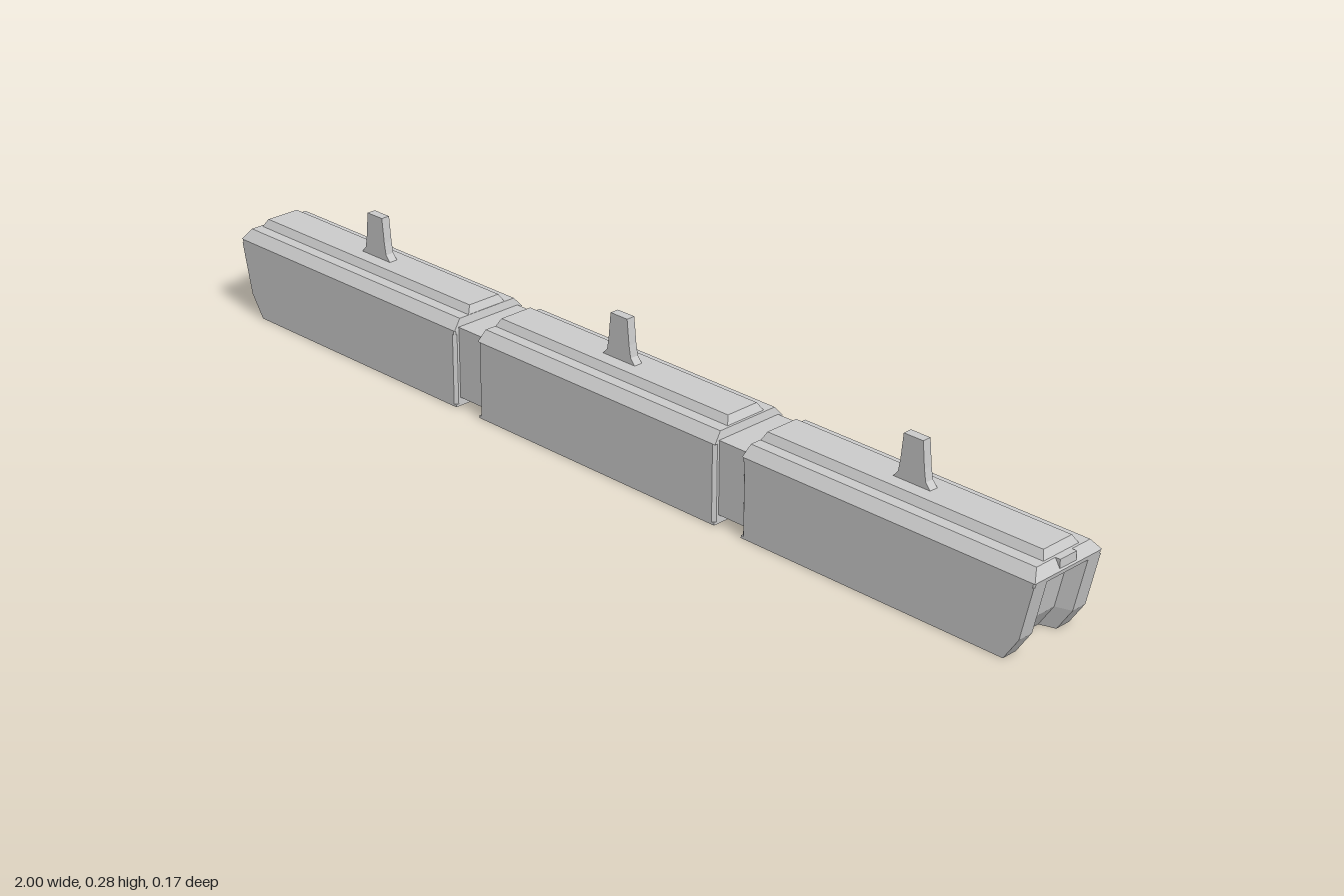
import * as THREE from 'three';

const material = new THREE.MeshStandardMaterial({ color: 0xcccccc, flatShading: true });
const H = 0.085; // half width of a car

function mesh(name, geometry, parent) {
  const m = new THREE.Mesh(geometry, material);
  m.name = name;
  parent.add(m);
  return m;
}

// Stacks plan outlines [x, z] (running +x then +z) at rising heights into a closed solid.
function loft(levels) {
  const pos = [];
  const put = (k, i) => {
    const { y, pts } = levels[k];
    const [x, z] = pts[i % pts.length];
    pos.push(x, y, z);
  };
  const n = levels[0].pts.length, last = levels.length - 1;
  for (let k = 0; k < last; k++) {
    for (let i = 0; i < n; i++) {
      put(k, i); put(k + 1, i); put(k, i + 1);
      put(k, i + 1); put(k + 1, i); put(k + 1, i + 1);
    }
  }
  for (const k of [0, last]) {
    const contour = levels[k].pts.map(([x, z]) => new THREE.Vector2(x, z));
    for (const [a, b, c] of THREE.ShapeUtils.triangulateShape(contour, [])) {
      put(k, a);
      put(k, k ? c : b);
      put(k, k ? b : c);
    }
  }
  const g = new THREE.BufferGeometry();
  g.setAttribute('position', new THREE.Float32BufferAttribute(pos, 3));
  g.computeVertexNormals();
  return g;
}

const rect = (x0, x1, h) => [[x0, -h], [x1, -h], [x1, h], [x0, h]];

// Rectangle with small bevelled corners
const bevelled = (x0, x1, h, b = 0.006) => [
  [x0, b - h], [x0 + b, -h], [x1 - b, -h], [x1, b - h],
  [x1, h - b], [x1 - b, h], [x0 + b, h], [x0, h - b],
];

// Cab plan: bevelled at the inner end, recessed between two cheeks at the nose
const RECESS = 0.03;
const cabPlan = (x0, x1, b = 0.006) => [
  [x0, b - H], [x0 + b, -H], [x1, -H], [x1, -0.052], [x1 - RECESS, -0.042],
  [x1 - RECESS, 0.042], [x1, 0.052], [x1, H], [x0 + b, H], [x0, H - b],
];

// Stepped roof: sloping shoulder below, narrower deck above
function addRoof(car, x0, x1, slope) {
  mesh('roofShoulder', loft([
    { y: 0.155, pts: rect(x0, x1, H) },
    { y: 0.175, pts: rect(x0 + 0.004, x1 - slope, 0.068) },
  ]), car);
  mesh('roofDeck', loft([
    { y: 0.175, pts: rect(x0 + 0.005, x1 - slope - 0.005, 0.045) },
    { y: 0.19, pts: rect(x0 + 0.012, x1 - slope - 0.013, 0.036) },
  ]), car);
}

// Thin tapering fin with a flared foot
function addFin(car, x) {
  const half = [[0.042, 0.188], [0.03, 0.202], [0.026, 0.225], [0.021, 0.275]];
  const outline = [...half, ...half.map(([a, y]) => [-a, y]).reverse()];
  const shape = new THREE.Shape(outline.map(([a, y]) => new THREE.Vector2(a, y)));
  const g = new THREE.ExtrudeGeometry(shape, { depth: 0.018, bevelEnabled: false });
  mesh('roofFin', g.translate(x, 0, -0.009), car);
}

// Two floor strips that leave a shallow central channel
function addFloor(car, plan) {
  for (const side of [1, -1]) {
    mesh('floorStrip', loft([0, 0.005].map((y) => ({ y, pts: plan(y) }))), car).scale.z = side;
  }
}

function endCar(x0) {
  const car = new THREE.Group();
  // Nose position by height: raked low down, steeper above
  const nose = (y) => (y < 0.045 ? 0.945 + y * 0.67 : 0.975 + (y - 0.045) * 0.227);
  mesh('cabBody', loft([0.005, 0.045, 0.147].map((y) => ({ y, pts: cabPlan(x0, nose(y)) }))), car);
  mesh('cabTop', loft([
    { y: 0.147, pts: bevelled(x0, nose(0.147), H, 0.003) },
    { y: 0.155, pts: bevelled(x0, 1, H, 0.003) },
  ]), car);
  addFloor(car, (y) => [
    [x0, 0.015], [nose(y) - RECESS, 0.015], [nose(y) - RECESS, 0.042],
    [nose(y), 0.052], [nose(y), H], [x0, H],
  ]);
  addRoof(car, x0, 1, 0.012);
  // Headlamp housing on the roof edge
  mesh('headlamp', new THREE.BoxGeometry(0.04, 0.02, 0.042).translate(0.978, 0.165, 0), car);
  addFin(car, 0.678);
  return car;
}

function middleCar(h) {
  const car = new THREE.Group();
  mesh('carBody', loft([0.005, 0.155].map((y) => ({ y, pts: bevelled(-h, h, H) }))), car);
  addFloor(car, () => [[-h, 0.015], [h, 0.015], [h, H], [-h, H]]);
  addRoof(car, -h, h, 0.004);
  addFin(car, -0.01);
  return car;
}

export function createModel() {
  const model = new THREE.Group();
  model.name = 'articulatedTram';

  const left = endCar(0.367);
  left.name = 'leftEndCar';
  const right = endCar(0.367);
  right.name = 'rightEndCar';
  right.rotation.y = Math.PI;
  const middle = middleCar(0.303);
  middle.name = 'middleCar';
  model.add(left, middle, right);

  // Gangways joining the cars
  for (const side of [-1, 1]) {
    const g = new THREE.BoxGeometry(0.09, 0.143, 0.148);
    mesh('gangway', g.translate(side * 0.335, 0.0885, 0), model);
  }
  return model;
}
